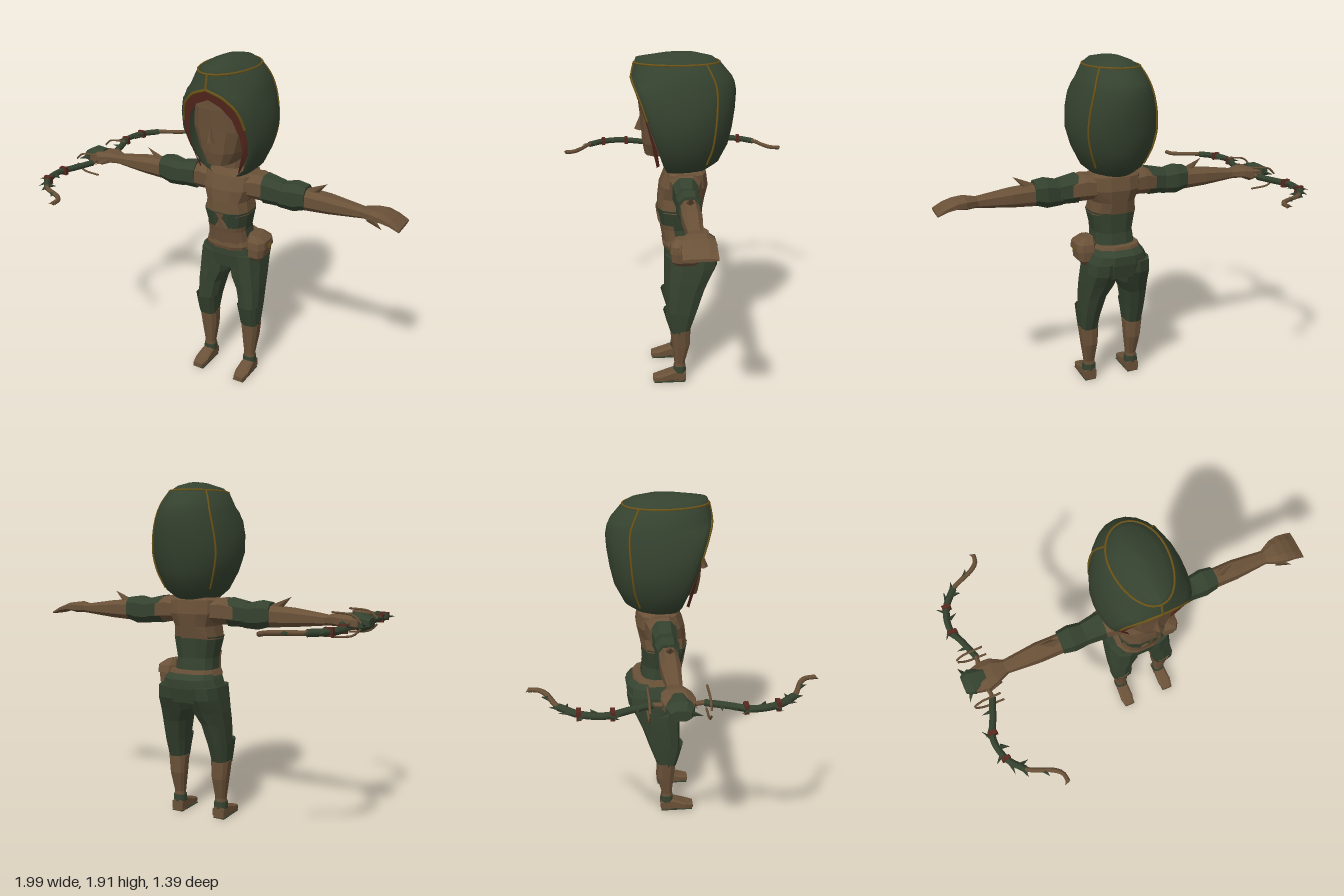
import * as THREE from 'three';

const paint = (name, color) => {
  const m = new THREE.MeshStandardMaterial({ color, side: THREE.DoubleSide });
  m.name = name;
  return m;
};

// Lofts superellipse rings; each row is [t, a0, a1, b0, b1], map turns (t, a, b) into x, y, z
function loft(rows, map, { n = 10, p = 0.75, from = 0, to = 360 } = {}) {
  const closed = to - from === 360, pos = [], idx = [], w = n + 1;
  const sp = v => Math.sign(v) * Math.pow(Math.abs(v), p);
  for (const [t, a0, a1, b0, b1] of rows) {
    for (let i = 0; i <= n; i++) {
      const q = THREE.MathUtils.degToRad(from + (to - from) * i / n + (closed ? 180 / n : 0));
      pos.push(...map(t, (a0 + a1) / 2 + (a1 - a0) / 2 * sp(Math.cos(q)), (b0 + b1) / 2 + (b1 - b0) / 2 * sp(Math.sin(q))));
    }
  }
  for (let r = 0; r < rows.length - 1; r++) for (let i = 0; i < n; i++) {
    const k = r * w + i;
    idx.push(k, k + 1, k + w + 1, k, k + w + 1, k + w);
  }
  if (closed) {
    const top = (rows.length - 1) * w;
    for (let i = 1; i < n - 1; i++) idx.push(0, i + 1, i, top, top + i, top + i + 1);
  }
  // Turn the faces outward
  let vol = 0;
  const v = k => new THREE.Vector3().fromArray(pos, k * 3);
  for (let i = 0; i < idx.length; i += 3) vol += v(idx[i]).dot(v(idx[i + 1]).cross(v(idx[i + 2])));
  if (vol < 0) idx.reverse();
  const g = new THREE.BufferGeometry();
  g.setAttribute('position', new THREE.Float32BufferAttribute(pos, 3));
  g.setIndex(idx);
  const flat = g.toNonIndexed();
  flat.computeVertexNormals();
  return flat;
}

// Hood rows: y, half width, back z, front z, half width of the opening
const HOOD = [
  [1.27, .11, -.13, .09, .07], [1.32, .17, -.2, .11, .125], [1.42, .218, -.25, .14, .17], [1.52, .243, -.272, .175, .186],
  [1.62, .235, -.286, .205, .175], [1.70, .215, -.29, .235, .14], [1.75, .197, -.28, .258, .08], [1.78, .187, -.265, .27, 0],
  [1.85, .148, -.205, .255, 0], [1.882, .095, -.16, .243, 0], [1.903, .04, -.07, .1, 0], [1.908, 0, .01, .01, 0],
];
// u runs from the front edge (0) over the side (0.5) to the back (1)
function hoodPoint(y, u, s) {
  let i = 0;
  while (i < HOOD.length - 2 && y > HOOD[i + 1][0]) i++;
  const k = (y - HOOD[i][0]) / (HOOD[i + 1][0] - HOOD[i][0]);
  const [, hw, zb, zf, ox] = HOOD[i].map((v, j) => THREE.MathUtils.lerp(v, HOOD[i + 1][j], k));
  const q = (u < .5 ? u : u - .5) * Math.PI;
  return u < .5 ? new THREE.Vector3(s * (ox + (hw - ox) * Math.sin(q)), y, zf * Math.cos(q))
    : new THREE.Vector3(s * hw * Math.cos(q), y, zb * Math.sin(q));
}
function hoodGeometry() {
  const n = 24, pos = [], idx = [];
  for (const [y] of HOOD) for (let i = 0; i <= n; i++) {
    const f = i / n * 2;
    pos.push(...hoodPoint(y, f < 1 ? f : 2 - f, f < 1 ? 1 : -1).toArray());
  }
  for (let r = 0; r < HOOD.length - 1; r++) for (let i = 0; i < n; i++) {
    const k = r * (n + 1) + i, w = n + 1;
    idx.push(k, k + w, k + w + 1, k, k + w + 1, k + 1);
  }
  const g = new THREE.BufferGeometry();
  g.setAttribute('position', new THREE.Float32BufferAttribute(pos, 3));
  g.setIndex(idx);
  g.computeVertexNormals();
  return g;
}

export function createModel() {
  const brown = paint('leather brown', 0x6a5138), green = paint('forest green', 0x35422f);
  const red = paint('dark red', 0x58281f), gold = paint('dull gold', 0x6e5518);
  const root = new THREE.Group(), body = new THREE.Group(), bow = new THREE.Group();
  body.name = 'body';
  body.position.x = .017;
  bow.name = 'bow';
  root.add(body, bow);
  const add = (name, geo, mat, parent = body) => {
    const m = new THREE.Mesh(geo, mat);
    m.name = name;
    parent.add(m);
    return m;
  };
  const tube = (pts, r, seg = 16, sides = 5) => new THREE.TubeGeometry(new THREE.CatmullRomCurve3(pts), seg, r, sides);
  const V = (x, y, z) => new THREE.Vector3(x, y, z);
  const up = (t, a, b) => [a, t, b];
  const spike = (name, base, tip, r, mat, parent) => {
    const d = tip.clone().sub(base), m = add(name, new THREE.ConeGeometry(r, d.length(), 4), mat, parent);
    m.position.copy(base).addScaledVector(d, .5);
    m.quaternion.setFromUnitVectors(V(0, 1, 0), d.normalize());
  };

  // Head and hood
  add('head', loft([[1.36, -.08, .08, -.05, .205], [1.43, -.125, .125, -.1, .218], [1.55, -.165, .165, -.12, .225],
    [1.67, -.15, .15, -.12, .238], [1.75, -.09, .09, -.1, .24]], up, { n: 14, p: .85 }), brown);
  add('neck', loft([[1.24, -.08, .08, -.1, .07], [1.4, -.07, .07, -.07, .07]], up), brown);
  const nose = add('nose', new THREE.ConeGeometry(.026, .09, 4), brown);
  nose.position.set(0, 1.54, .228);
  nose.rotation.x = -.12;
  add('hood', hoodGeometry(), green);
  const ring = (y, a, b, s) => Array.from({ length: 13 }, (_, i) => hoodPoint(y, a + (b - a) * i / 12, s));
  add('hoodFrontSeam', tube([hoodPoint(1.78, 0, 1), hoodPoint(1.82, 0, 1), hoodPoint(1.855, 0, 1)], .007), gold);

  // Hair locks: outer edge and inner edge points
  const lock = [[0, 1.775, .265, 0, 1.725, .25], [.08, 1.745, .257, .07, 1.695, .247], [.14, 1.70, .237, .122, 1.63, .222],
    [.177, 1.62, .207, .15, 1.53, .19], [.187, 1.52, .177, .155, 1.45, .172], [.171, 1.42, .145, .135, 1.38, .16], [.12, 1.32, .13, .115, 1.31, .145]];

  for (const s of [1, -1]) {
    add('hoodRim', tube([1.78, 1.75, 1.72, 1.69, 1.64, 1.58].map(y => hoodPoint(y, 0, s)), .008), gold);
    add('hoodCrownSeam', tube(ring(1.855, 0, 1, s), .006, 30), gold);
    add('hoodSideSeam', tube([1.855, 1.8, 1.75, 1.7, 1.62, 1.52, 1.42, 1.33].map(y => hoodPoint(y, .7, s)), .006, 24), gold);
    const hair = new THREE.BufferGeometry();
    hair.setAttribute('position', new THREE.Float32BufferAttribute(lock.flatMap(([a, b, c, d, e, f]) => [s * a, b, c, s * d, e, f]), 3));
    hair.setIndex(lock.slice(1).flatMap((_, i) => {
      const k = i * 2, f = [k, k + 1, k + 3, k, k + 3, k + 2];
      return s > 0 ? f : f.reverse();
    }));
    hair.computeVertexNormals();
    add('hair', hair, red);

    // Arms
    const out = (t, a, b) => [s * t, a, b], side = s > 0 ? 'left' : 'right';
    add(side + 'Shoulder', loft([[.08, 1.14, 1.27, -.11, .09], [.18, 1.13, 1.285, -.09, .075], [.25, 1.13, 1.265, -.07, .06]], out, { n: 8 }), brown);
    add(side + 'UpperSleeve', loft([[.21, 1.12, 1.285, -.075, .072], [.32, 1.12, 1.262, -.06, .06]], out, { n: 8 }), green);
    add(side + 'LowerSleeve', loft([[.3, 1.115, 1.255, -.058, .058], [.39, 1.11, 1.275, -.07, .066], [.455, 1.13, 1.265, -.06, .056]], out, { n: 8 }), green);
    add(side + 'Forearm', loft([[.43, 1.125, 1.25, -.052, .048], [.58, 1.135, 1.24, -.056, .05], [.78, 1.155, 1.21, -.04, .035]], out, { n: 8 }), brown);
    spike(side + 'BracerFin', V(s * .47, 1.225, 0), V(s * .565, 1.295, 0), .03, brown);
    const hand = s > 0 ? [[.88, 1.165, 1.215, -.088, .078], [.93, 1.16, 1.195, -.09, .08], [.983, 1.145, 1.16, -.092, .082]]
      : [[.88, 1.135, 1.22, -.085, .085], [.95, 1.145, 1.21, -.065, .07]];
    add(side + 'Hand', loft([[.76, 1.157, 1.21, -.04, .035], [.83, 1.155, 1.222, -.078, .07], ...hand], out, { n: 8 }), brown);
    spike(side + 'Thumb', V(s * .82, 1.18, .05), V(s * .9, 1.15, .088), .022, brown);

    // Legs
    const leg = (t, a, b) => [s * a, t, b];
    add(side + 'Thigh', loft([[.79, 0, .183, -.2, .1], [.72, 0, .192, -.19, .1], [.645, .01, .198, -.15, .1],
      [.57, .05, .2, -.115, .1], [.45, .075, .2, -.075, .1], [.33, .09, .192, -.033, .072]], leg), green);
    add(side + 'KneePad', loft([[.335, .085, .197, -.03, .082], [.41, .078, .203, -.05, .104], [.47, .07, .207, -.07, .12]],
      leg, { n: 6, from: 0, to: 180 }), green);
    add(side + 'Boot', loft([[.345, .083, .198, -.037, .08], [.24, .09, .186, -.036, .07], [.12, .104, .168, -.005, .057],
      [.05, .102, .172, -.008, .06], [0, .102, .172, -.01, .07]], leg), brown);
    add(side + 'AnkleWrap', loft([[.06, .097, .176, -.012, .064], [.1, .099, .174, -.01, .062]], leg), green);
    add(side + 'Foot', loft([[-.01, .1, .174, .004, .07], [.06, .1, .176, .004, .078], [.13, .097, .182, .004, .05], [.183, .11, .17, .004, .036]],
      (t, a, b) => [s * a, b, t], { n: 8, p: .5 }), brown);
    add(side + 'Sole', new THREE.BoxGeometry(.068, .006, .185), green).position.set(s * .138, .003, .085);
  }

  // Torso and hips
  add('chest', loft([[1.045, -.137, .137, -.11, .142], [1.12, -.125, .125, -.125, .14], [1.19, -.155, .155, -.14, .13],
    [1.265, -.15, .15, -.13, .1], [1.3, -.075, .075, -.1, .07]], up, { n: 12 }), brown);
  add('waist', loft([[.85, -.122, .122, -.12, .105], [.94, -.113, .113, -.105, .12], [1.06, -.138, .138, -.112, .146]], up, { n: 12 }), green);
  add('bellyPanel', loft([[.86, -.127, .127, -.12, .112], [.94, -.117, .117, -.105, .126], [.97, -.121, .121, -.107, .133]],
    up, { n: 8, from: 15, to: 165 }), brown);
  add('chestPoint', loft([[.965, -.07, .07, -.1, .137], [1.02, -.02, .02, -.1, .146], [1.06, -.06, .06, -.1, .151]],
    up, { n: 4, from: 50, to: 130 }), brown);
  add('hips', loft([[.7, -.17, .17, -.18, .09], [.78, -.18, .18, -.2, .1], [.83, -.157, .157, -.2, .1], [.87, -.13, .13, -.15, .1]], up, { n: 12 }), green);
  add('belt', loft([[.825, -.14, .14, -.155, .112], [.845, -.147, .147, -.168, .118], [.875, -.132, .132, -.16, .114]], up, { n: 12 }), brown);
  add('pouch', loft([[.762, .13, .195, -.07, .05], [.79, .12, .222, -.09, .075], [.86, .12, .228, -.095, .08]], up, { n: 8, p: .6 }), brown);
  add('pouchFlap', loft([[.845, .115, .236, -.1, .086], [.885, .115, .232, -.09, .08], [.917, .125, .185, -.06, .05]], up, { n: 8, p: .6 }), brown);
  add('pouchClasp', new THREE.BoxGeometry(.006, .02, .02), gold).position.set(.235, .85, -.01);

  // Bow lying level in the right hand
  const Y = 1.175;
  for (const s of [1, -1]) {
    const P = ([x, z]) => V(x, Y, s * z);
    const limb = [[-.9, 0], [-.87, .12], [-.905, .22], [-.945, .33], [-.92, .45], [-.85, .54]];
    add('bowCore', tube([...limb, [-.72, .605], [-.685, .64], [-.678, .685]].map(P), .013, 40, 6), brown, bow);
    add('bowLimb', tube(limb.slice(1).map(P), .019, 24, 6), green, bow);
    spike('bowTip', P([-.678, .68]), P([-.7, .697]), .012, brown, bow);
    // Thorns as base and tip
    for (const [bx, bz, tx, tz] of [[-.89, .19, -.955, .19], [-.92, .25, -.975, .31], [-.945, .33, -.985, .27], [-.93, .42, -.975, .46],
      [-.91, .46, -.905, .545], [-.86, .53, -.85, .585], [-.87, .51, -.82, .5], [-.77, .58, -.75, .625], [-.925, .38, -.88, .4]])
      spike('bowThorn', P([bx, bz]), P([tx, tz]), .015, green, bow);
    for (const [x, z] of [[-.935, .3], [-.92, .45]]) add('bowBand', new THREE.BoxGeometry(.045, .044, .022), red, bow).position.copy(P([x, z]));
    // Curved guards and grip leaves
    for (const v of [1, -1])
      add('bowGuard', tube([V(-.97, Y + v * .015, s * .137), V(-.93, Y + v * .05, s * .137), V(-.82, Y + v * .062, s * .137)], .006, 8), brown, bow);
    spike('gripLeaf', P([-.93, -.01]), P([-.985, .1]), .035, green, bow);
    spike('gripLeaf', P([-.93, .02]), P([-.87, .09]), .03, green, bow);
  }
  add('gripWrap', loft([[-.985, 1.15, 1.205, -.05, .05], [-.94, 1.13, 1.228, -.07, .07], [-.86, 1.16, 1.228, -.035, .035]],
    (t, a, b) => [t, a, b], { n: 8 }), green, bow);
  return root;
}
